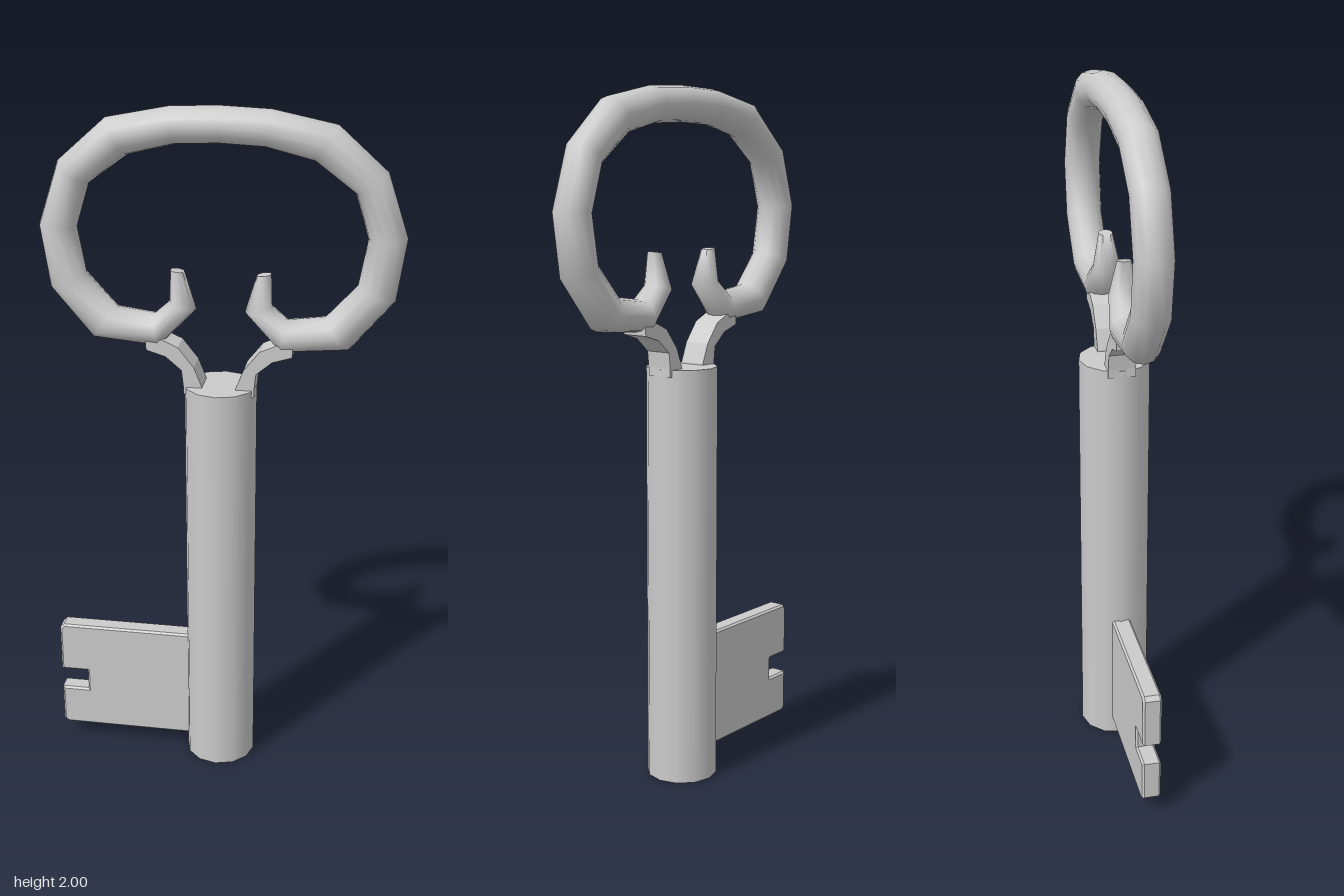
import * as THREE from 'three';
import { toCreasedNormals } from 'three/addons/utils/BufferGeometryUtils.js';

const material = new THREE.MeshStandardMaterial({ color: 0xcccccc });
const SIDES = 12;

function addMesh(group, name, geometry) {
  const mesh = new THREE.Mesh(geometry, material);
  mesh.name = name;
  group.add(mesh);
  return mesh;
}

// Tube through mitred rings, each given as [outerX, outerY, innerX, innerY, halfDepth]
function ringTube(rings) {
  const positions = [], index = [];
  for (const [ox, oy, ix, iy, depth] of rings) {
    for (let j = 0; j < SIDES; j++) {
      const a = (j / SIDES) * Math.PI * 2;
      const t = Math.cos(a) / 2;
      positions.push((ox + ix) / 2 + (ox - ix) * t, (oy + iy) / 2 + (oy - iy) * t, -depth * Math.sin(a));
    }
  }
  const last = (rings.length - 1) * SIDES;
  for (let i = 0; i < last; i += SIDES) {
    for (let j = 0; j < SIDES; j++) {
      const a = i + j, b = i + (j + 1) % SIDES;
      index.push(a, b, a + SIDES, b, b + SIDES, a + SIDES);
    }
  }
  // Flat end caps
  for (let j = 1; j < SIDES - 1; j++) {
    index.push(0, j + 1, j, last, last + j, last + j + 1);
  }
  const geometry = new THREE.BufferGeometry();
  geometry.setAttribute('position', new THREE.Float32BufferAttribute(positions, 3));
  geometry.setIndex(index);
  return toCreasedNormals(geometry, 1.2);
}

// Flat plate from an outline, centred on z = 0, with a small bevel inside the outline
function plate(points, thickness, bevel) {
  const shape = new THREE.Shape(points.map(([x, y]) => new THREE.Vector2(x, y)));
  const depth = thickness - 2 * bevel;
  const geometry = new THREE.ExtrudeGeometry(shape, {
    depth, bevelEnabled: bevel > 0, bevelThickness: bevel,
    bevelSize: bevel, bevelOffset: -bevel, bevelSegments: 1,
  });
  geometry.translate(0, 0, -depth / 2);
  return geometry;
}

export function createModel() {
  const group = new THREE.Group();

  // Shaft
  const shaft = addMesh(group, 'shaft', new THREE.CylinderGeometry(0.103, 0.103, 1.22, SIDES));
  shaft.position.y = 0.61;

  // Bit with a notch in its outer edge
  addMesh(group, 'bit', plate([
    [-0.08, 0.05], [-0.08, 0.405], [-0.485, 0.405], [-0.497, 0.393],
    [-0.497, 0.245], [-0.415, 0.245], [-0.415, 0.18], [-0.497, 0.18],
    [-0.497, 0.062], [-0.485, 0.05],
  ], 0.055, 0.006));

  // Bow: open loop with tapered, inward-curling tips, mirrored about x = 0
  const half = [
    [0.1, 1.545, 0.14, 1.55, 0.02],
    [0.068, 1.44, 0.143, 1.46, 0.04],
    [0.17, 1.33, 0.185, 1.422, 0.052],
    [0.36, 1.347, 0.29, 1.436, 0.053],
    [0.478, 1.49, 0.375, 1.53, 0.053],
    [0.503, 1.665, 0.398, 1.66, 0.053],
    [0.445, 1.84, 0.36, 1.782, 0.053],
    [0.31, 1.96, 0.25, 1.863, 0.053],
    [0.135, 1.995, 0.12, 1.895, 0.053],
  ];
  const mirrored = half.map(([ox, oy, ix, iy, d]) => [-ox, oy, -ix, iy, d]).reverse();
  addMesh(group, 'bow', ringTube([...half, [0, 2, 0, 1.9, 0.053], ...mirrored]));

  // Curved brackets joining the shaft to the bow
  const bracket = [
    [0.045, 1.2], [0.1, 1.2], [0.1, 1.225], [0.105, 1.27], [0.15, 1.308],
    [0.205, 1.325], [0.205, 1.36], [0.16, 1.357], [0.115, 1.337], [0.07, 1.28], [0.048, 1.225],
  ];
  for (const [name, side] of [['leftBracket', 1], ['rightBracket', -1]]) {
    addMesh(group, name, plate(bracket.map(([x, y]) => [side * x, y]), 0.078, 0));
  }
  return group;
}
